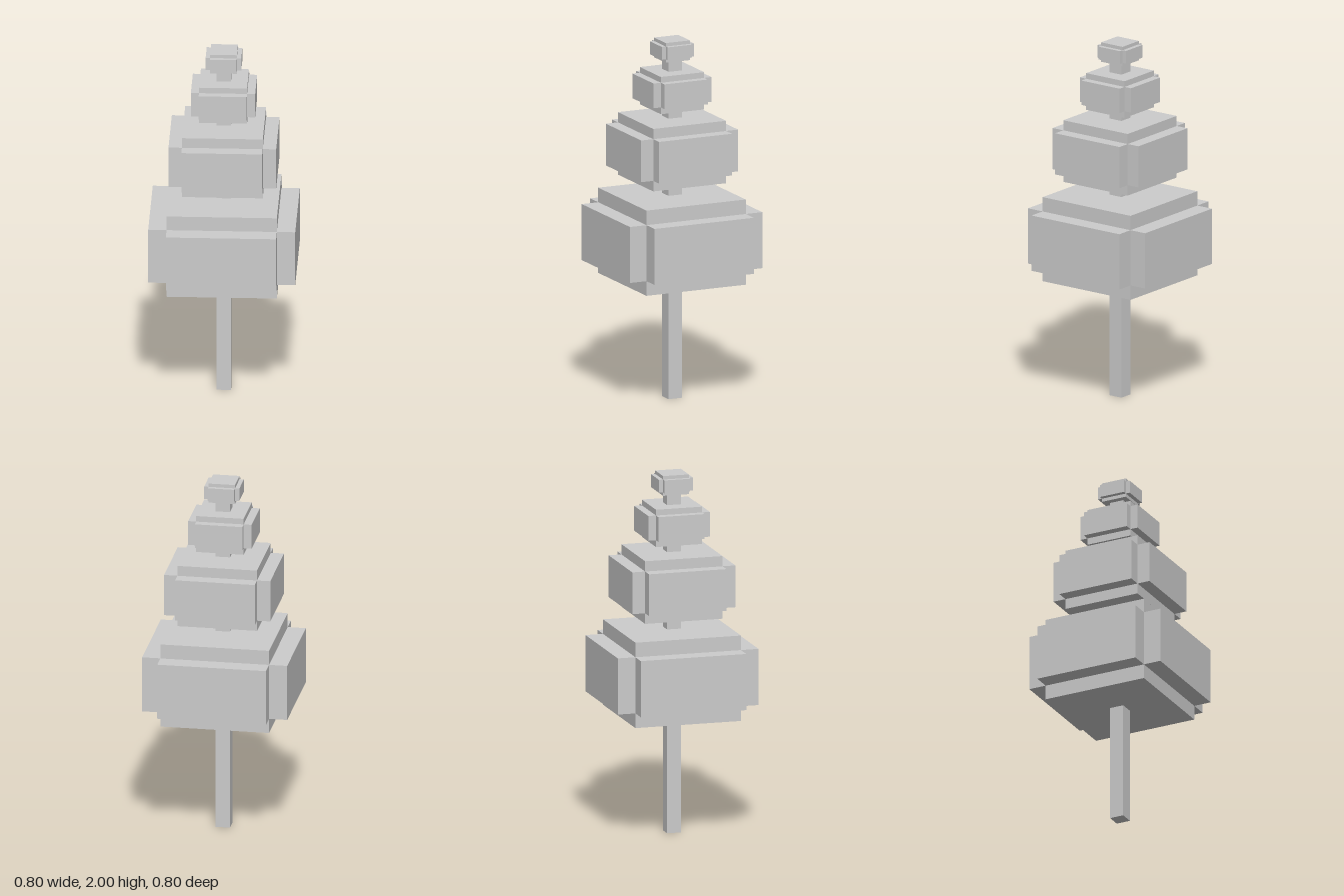
import * as THREE from 'three';

export function createModel() {
  const model = new THREE.Group();
  const material = new THREE.MeshStandardMaterial({ color: 0xcccccc, flatShading: true });

  // Centred box with half-widths hx, hz, spanning y0 to y1
  function addBox(parent, name, hx, hz, y0, y1) {
    const mesh = new THREE.Mesh(new THREE.BoxGeometry(2 * hx, y1 - y0, 2 * hz), material);
    mesh.name = name;
    mesh.position.y = (y0 + y1) / 2;
    parent.add(mesh);
  }

  // Trunk running up through every tier
  addBox(model, 'trunk', 0.04, 0.04, 0, 1.95);

  // Foliage tiers: a tall core crossed by two shorter, wider slabs
  const tiers = [
    { core: 0.3, reach: 0.4, y: [0.66, 1.136], slabY: [0.742, 1.055] },
    { core: 0.22, reach: 0.293, y: [1.218, 1.567], slabY: [1.277, 1.51] },
    { core: 0.131, reach: 0.175, y: [1.621, 1.829], slabY: [1.659, 1.797] },
    { core: 0.073, reach: 0.097, y: [1.89, 2], slabY: [1.909, 1.981] },
  ];
  tiers.forEach(({ core, reach, y, slabY }, i) => {
    const tier = new THREE.Group();
    tier.name = `foliageTier${i + 1}`;
    addBox(tier, 'foliageCore', core, core, ...y);
    addBox(tier, 'sideSlab', reach, core, ...slabY);
    addBox(tier, 'frontBackSlab', core, reach, ...slabY);
    model.add(tier);
  });

  return model;
}
